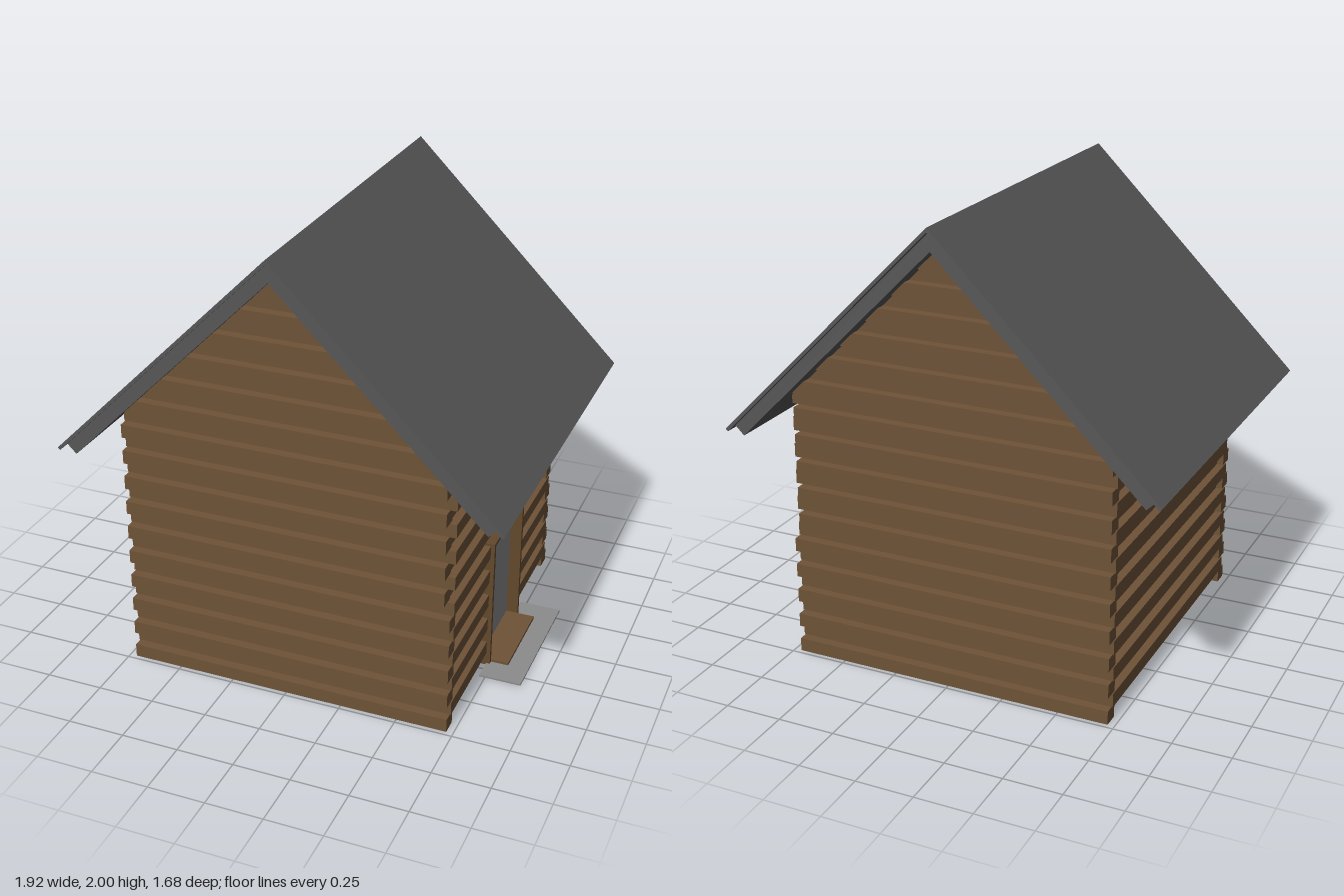
import * as THREE from 'three';

const mat = (color) => new THREE.MeshStandardMaterial({ color, flatShading: true });

export function createModel() {
  const cabin = new THREE.Group();
  cabin.name = 'logCabin';
  const wood = mat(0x6e5337), trimWood = mat(0x64482c), roofGrey = mat(0x575757);
  const doorGrey = mat(0x8c8c8c), brass = mat(0xb07a3c);

  const group = (name) => {
    const g = new THREE.Group();
    g.name = name;
    cabin.add(g);
    return g;
  };
  // Box given by its minimum and maximum along each axis
  const box = (parent, name, material, x0, x1, y0, y1, z0, z1) => {
    const m = new THREE.Mesh(new THREE.BoxGeometry(x1 - x0, y1 - y0, z1 - z0), material);
    m.position.set((x0 + x1) / 2, (y0 + y1) / 2, (z0 + z1) / 2);
    m.name = name;
    parent.add(m);
  };

  // Stacked log courses: gable logs stand out on even courses, side logs on odd ones
  const H = 0.06, T = 0.07, DOOR = 0.2;
  const gables = group('gableWalls'), sides = group('sideWalls');
  for (let i = 0; i < 32; i++) {
    const even = i % 2 === 0;
    const y0 = i * H, y1 = y0 + H - 0.0005;
    const gz = even ? 0.73 : 0.69;
    const slope = 1.9 - y0;
    const left = Math.min(even ? 0.72 : 0.725, slope);
    const right = Math.min(even ? (i < 10 ? 0.72 : 0.695) : 0.725, slope);
    for (const s of [1, -1]) {
      const a = s * gz, b = s * (gz - T);
      box(gables, 'gableLog', wood, -left, right, y0, y1, Math.min(a, b), Math.max(a, b));
    }
    if (i >= 20) continue;
    const sx = even ? 0.69 : 0.725, end = gz - T;
    box(sides, 'sideLog', wood, -sx, -sx + T, y0, y1, -end, end);
    if (i < 10) {
      // Courses beside the doorway
      box(sides, 'sideLog', wood, sx - T, sx, y0, y1, DOOR, end);
      box(sides, 'sideLog', wood, sx - T, sx, y0, y1, -end, -DOOR);
    } else {
      box(sides, 'sideLog', wood, sx - T, sx, y0, y1, -end, end);
    }
  }

  // Roof layers: chevron sections extruded along z
  const roof = group('roof');
  const chevron = (name, top, reach, thick, halfLength) => {
    const d = thick * Math.SQRT1_2; // square-cut eaves
    const s = new THREE.Shape();
    s.moveTo(0, top);
    s.lineTo(reach, top - reach);
    s.lineTo(reach - d, top - reach - d);
    s.lineTo(0, top - 2 * d);
    s.lineTo(-reach + d, top - reach - d);
    s.lineTo(-reach, top - reach);
    s.closePath();
    const g = new THREE.ExtrudeGeometry(s, { depth: 2 * halfLength, bevelEnabled: false });
    g.translate(0, 0, -halfLength);
    const m = new THREE.Mesh(g, roofGrey);
    m.name = name;
    roof.add(m);
  };
  chevron('roofSheet', 2, 0.96, 0.014, 0.84);
  chevron('roofDeck', 1.98, 0.928, 0.056, 0.815);

  // Doorway on the +x wall
  const door = group('door');
  for (const s of [1, -1]) {
    const a = s * 0.197, b = s * 0.215;
    box(door, 'doorJamb', trimWood, 0.62, 0.742, 0, 0.61, Math.min(a, b), Math.max(a, b));
  }
  box(door, 'doorHead', trimWood, 0.62, 0.742, 0.597, 0.61, -0.197, 0.197);
  box(door, 'doorLeaf', doorGrey, 0.665, 0.69, 0.02, 0.597, -0.197, 0.197);
  box(door, 'threshold', wood, 0.62, 0.82, 0, 0.02, -0.197, 0.197);
  box(door, 'doorstep', doorGrey, 0.725, 0.91, 0, 0.008, -0.31, 0.31);

  // Knob and lock
  for (const [name, y, r] of [['lock', 0.27, 0.01], ['knob', 0.23, 0.013]]) {
    const stem = new THREE.Mesh(new THREE.CylinderGeometry(r, r, 0.015, 16), brass);
    stem.rotation.z = Math.PI / 2;
    stem.position.set(0.695, y, 0.15);
    stem.name = name + 'Plate';
    const ball = new THREE.Mesh(new THREE.SphereGeometry(r, 16, 10),
      new THREE.MeshStandardMaterial({ color: 0xb07a3c }));
    ball.position.set(0.71, y, 0.15);
    ball.name = name;
    door.add(stem, ball);
  }
  return cabin;
}
